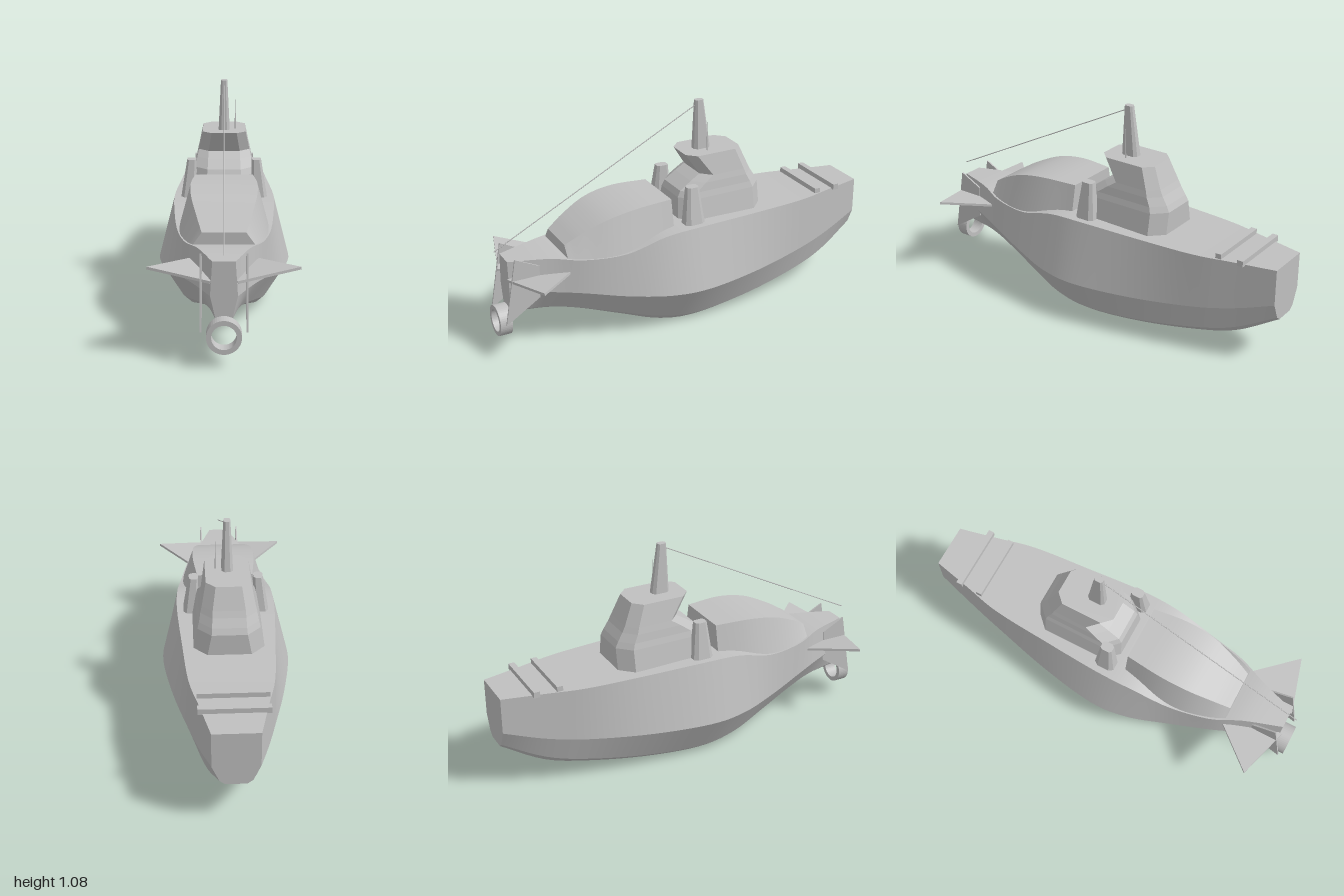
import * as THREE from 'three';

const grey = new THREE.MeshStandardMaterial({ color: 0xc0c0c0 });
grey.name = 'hull grey';

// Skin a list of matching rings; each lengthwise strip keeps its own vertices so the chines stay sharp.
// Rings run counter-clockwise as seen from the direction they advance in.
function loft(rings, smooth) {
  const pos = [], idx = [], n = rings[0].length;
  for (let j = 0; j < n; j++) {
    const base = pos.length / 3;
    rings.forEach(r => pos.push(...r[j], ...r[(j + 1) % n]));
    for (let i = 0; i < rings.length - 1; i++) {
      const a = base + i * 2;
      idx.push(a, a + 1, a + 2, a + 1, a + 3, a + 2);
    }
  }
  [rings[0], rings[rings.length - 1]].forEach((r, end) => {
    const base = pos.length / 3;
    r.forEach(p => pos.push(...p));
    for (let j = 1; j < n - 1; j++) {
      if (end) idx.push(base, base + j, base + j + 1);
      else idx.push(base, base + j + 1, base + j);
    }
  });
  let g = new THREE.BufferGeometry();
  g.setAttribute('position', new THREE.Float32BufferAttribute(pos, 3));
  g.setIndex(idx);
  if (!smooth) g = g.toNonIndexed();
  g.computeVertexNormals();
  return g;
}

// Smoothly resample rows of station values
function resample(rows, steps) {
  const out = [], last = rows.length - 1;
  for (let i = 0; i < last; i++) {
    for (let s = 0; s < steps; s++) {
      const t = s / steps;
      out.push(rows[i].map((p1, k) => {
        const p2 = rows[i + 1][k];
        const p0 = i > 0 ? rows[i - 1][k] : 2 * p1 - p2;
        const p3 = i + 2 <= last ? rows[i + 2][k] : 2 * p2 - p1;
        return p1 + 0.5 * t * (p2 - p0 + t * (2 * p0 - 5 * p1 + 4 * p2 - p3 + t * (3 * (p1 - p2) + p3 - p0)));
      }));
    }
  }
  out.push(rows[last]);
  return out;
}

function plate(points, depth) {
  const shape = new THREE.Shape(points.map(p => new THREE.Vector2(p[0], p[1])));
  return new THREE.ExtrudeGeometry(shape, { depth, bevelEnabled: false });
}

export function createModel() {
  const model = new THREE.Group();
  model.name = 'ship';
  const add = (name, geometry, x = 0, y = 0, z = 0) => {
    const m = new THREE.Mesh(geometry, grey);
    m.name = name;
    m.position.set(x, y, z);
    model.add(m);
    return m;
  };

  // Hull stations: z, then height and half width of keel, lower chine, upper chine and deck edge
  const stations = [
    [-1, .23, .05, .25, .075, .33, .11, .51, .11],
    [-.8, .12, .09, .15, .12, .27, .158, .51, .155],
    [-.6, .068, .12, .10, .16, .235, .205, .51, .2],
    [-.3, .025, .16, .055, .2, .215, .275, .512, .225],
    [0, 0, .175, .03, .215, .21, .322, .516, .245],
    [.2, .02, .165, .05, .2, .215, .305, .505, .242],
    [.4, .08, .12, .10, .15, .235, .245, .452, .222],
    [.6, .145, .08, .155, .1, .275, .185, .45, .18],
    [.75, .178, .055, .185, .065, .295, .13, .465, .115],
    [.94, .19, .03, .2, .035, .31, .06, .465, .05],
  ];
  add('hull', loft(resample(stations, 5).map(([z, ky, kx, ly, lx, cy, cx, dy, dx]) => [
    [-kx, ky, z], [kx, ky, z], [lx, ly, z], [cx, cy, z],
    [dx, dy, z], [-dx, dy, z], [-cx, cy, z], [-lx, ly, z],
  ]), true));

  // Humped cover on the forward deck: z, base half width, top half width, top height
  const hump = [
    [.12, .18, .14, .645], [.3, .212, .158, .645], [.45, .208, .152, .62],
    [.58, .18, .125, .565], [.67, .15, .1, .512],
  ];
  add('foredeckCover', loft(resample(hump, 5).map(([z, b, t, y]) => [
    [-b, .442, z], [b, .442, z], [t, y, z], [-t, y, z],
  ]), true));

  // Eight-sided bridge tower: height, half width, back z, front z, corner cut
  const tower = [
    [.5, .172, -.4, .065, .065], [.62, .15, -.4, .055, .065], [.65, .142, -.385, .04, .06],
    [.69, .135, -.36, -.02, .055], [.72, .128, -.345, -.07, .05], [.825, .107, -.3, 0, .045],
  ];
  add('bridgeTower', loft(tower.map(([y, w, b, f, c]) => [
    [c - w, y, f], [w - c, y, f], [w, y, f - c], [w, y, b + c],
    [w - c, y, b], [c - w, y, b], [-w, y, b + c], [-w, y, f - c],
  ]), false));

  // Mast, aerial and stay wire
  const ring = (y, w, b, f) => [
    [-w * .5, y, f], [w * .5, y, f], [w, y, f - w * .5], [w, y, b + w * .5],
    [w * .5, y, b], [-w * .5, y, b], [-w, y, b + w * .5], [-w, y, f - w * .5],
  ];
  add('mast', loft([ring(.82, .028, -.165, -.075), ring(1.075, .016, -.128, -.085)], false));
  add('aerial', new THREE.CylinderGeometry(.0015, .004, .15, 6), .056, .897, -.125);
  const from = new THREE.Vector3(0, 1.05, -.09), to = new THREE.Vector3(0, .505, .985);
  add('stayWire', new THREE.TubeGeometry(new THREE.LineCurve3(from, to), 1, .0025, 5));

  // Twin funnels, leaning inwards
  const funnel = s => [[.49, .177, .04, .055], [.7, .16, .023, .03]].map(([y, x, w, d]) => [
    [-.6 * w, d], [.6 * w, d], [w, .6 * d], [w, -.6 * d],
    [.6 * w, -d], [-.6 * w, -d], [-w, -.6 * d], [-w, .6 * d],
  ].map(([px, pz]) => [s * x + px, y, .018 + pz]));

  for (const s of [1, -1]) {
    const side = s > 0 ? 'left' : 'right';
    add(side + 'Funnel', loft(funnel(s), false));

    // Swept fin beside the tail
    const fin = plate([[.15, .66], [.337, .87], [.06, .95], [.03, .8]].map(([x, z]) => [s * x, z]), .012);
    fin.rotateX(Math.PI / 2);
    add(side + 'Fin', fin, 0, .372, 0).rotation.z = s * .14;

    // Upright tail plate
    const rudder = plate([[.92, .495], [.8, .435], [.805, .27], [.98, .16]], .008);
    rudder.rotateY(-Math.PI / 2);
    add(side + 'TailPlate', rudder, s * .1 + .004, 0, 0);
  }

  // Open ring under the tail
  const hoop = new THREE.Shape().absarc(0, 0, .077, 0, Math.PI * 2);
  hoop.holes.push(new THREE.Path().absarc(0, 0, .055, 0, Math.PI * 2, true));
  add('tailRing', new THREE.ExtrudeGeometry(hoop, { depth: .06, bevelEnabled: false, curveSegments: 24 }), 0, .143, .94);

  // Cross beams on the after deck
  [-.84, -.725].forEach((z, i) =>
    add('deckBeam' + (i + 1), new THREE.BoxGeometry(.33, .03, .03), 0, .52, z));

  return model;
}
